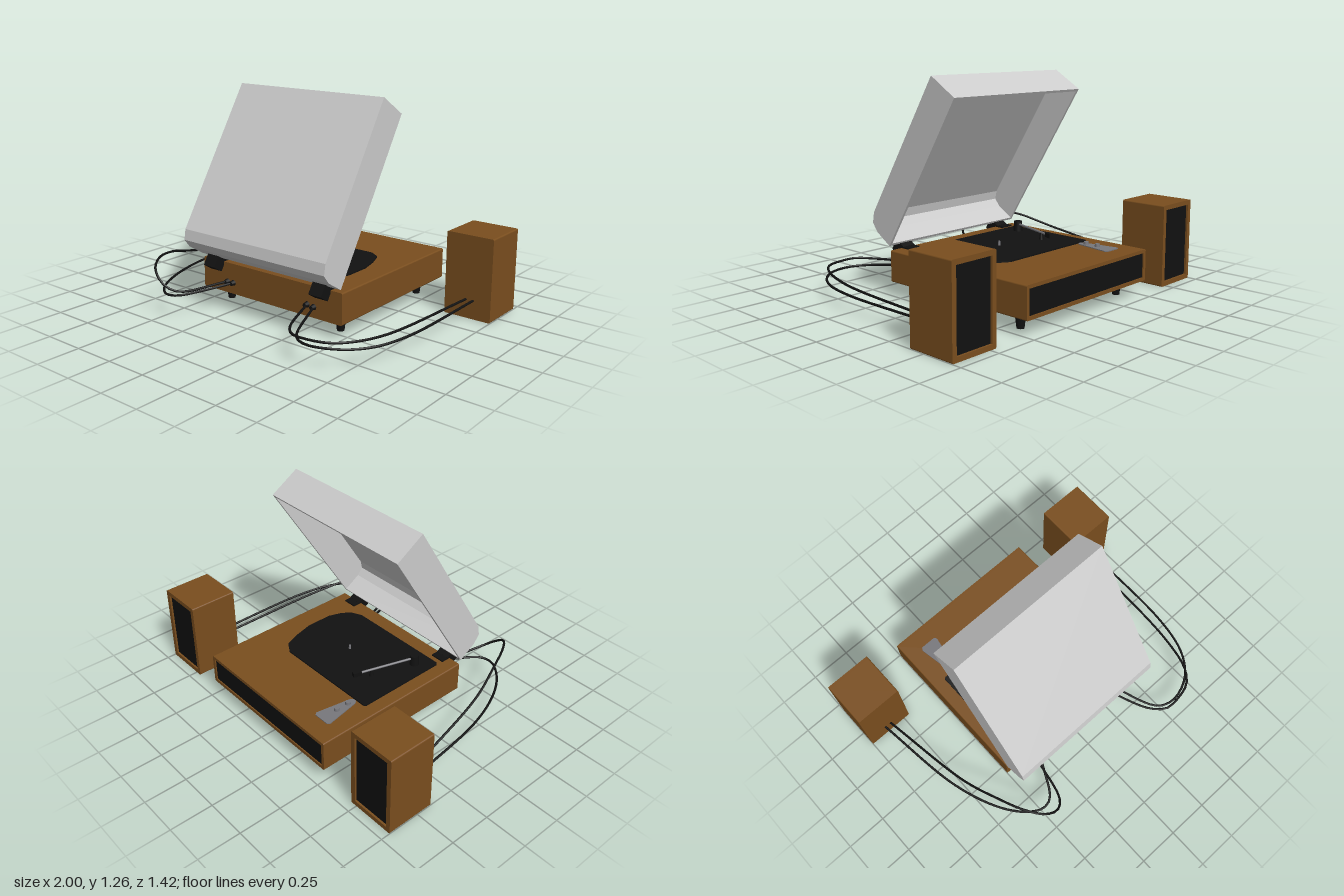
import * as THREE from 'three';

const mat = (color, side = THREE.FrontSide) => new THREE.MeshStandardMaterial({ color, side });
const wood = mat(0x7a4e1e), black = mat(0x111111), grey = mat(0xcccccc), metal = mat(0x77777c);

function add(parent, name, geometry, material, x = 0, y = 0, z = 0) {
  const mesh = new THREE.Mesh(geometry, material);
  mesh.name = name;
  mesh.position.set(x, y, z);
  parent.add(mesh);
  return mesh;
}

const box = (w, h, d) => new THREE.BoxGeometry(w, h, d);
const cyl = (r1, r2, h, n = 16) => new THREE.CylinderGeometry(r1, r2, h, n);
const polygon = pts => new THREE.Shape(pts.map(p => new THREE.Vector2(...p)));
const extrude = (shape, depth) =>
  new THREE.ExtrudeGeometry(shape, { depth, bevelEnabled: false, curveSegments: 5 });

function roundedRect(w, h, r) {
  const s = new THREE.Shape(), x = w / 2, y = h / 2;
  s.absarc(x - r, y - r, r, 0, Math.PI / 2);
  s.absarc(r - x, y - r, r, Math.PI / 2, Math.PI);
  s.absarc(r - x, r - y, r, Math.PI, Math.PI * 1.5);
  s.absarc(x - r, r - y, r, Math.PI * 1.5, Math.PI * 2);
  s.closePath();
  return s;
}

// Wooden cabinet with a recessed cloth grille on its -z face
function cabinet(name, w, h, d, border, recess) {
  const g = new THREE.Group();
  g.name = name;
  add(g, 'cabinetBody', extrude(roundedRect(w, h, 0.008), d - recess), wood, 0, 0, recess - d / 2);
  const frame = roundedRect(w, h, 0.008);
  const x = w / 2 - border, y = h / 2 - border;
  frame.holes.push(new THREE.Path([[-x, -y], [-x, y], [x, y], [x, -y]].map(p => new THREE.Vector2(...p))));
  add(g, 'grilleFrame', extrude(frame, recess), wood, 0, 0, -d / 2);
  add(g, 'grille', box(x * 2, y * 2, 0.008), black, 0, 0, recess - d / 2 - 0.004);
  return g;
}

// Dust cover: cross-section in (height above rim, distance from hinge), tilted open
function makeLid() {
  const lid = new THREE.Group();
  lid.name = 'lid';
  const outer = [[0, 0], [0.122, 0], [0.182, 0.021], [0.206, 0.08], [0.204, 1.016], [0, 1.016]];
  const inner = [[0, 1.0], [0.188, 1.0], [0.19, 0.084], [0.172, 0.034], [0.12, 0.016], [0, 0.016]];
  add(lid, 'lidShell', extrude(polygon([...outer, ...inner]), 1.02), grey, 0, 0, -0.51);
  for (const z of [-0.51, 0.495])
    add(lid, 'lidSide', extrude(polygon(outer), 0.015), grey, 0, 0, z);
  const up = new THREE.Vector3(0, 0.849, -0.528), out = new THREE.Vector3(0, 0.528, 0.849);
  lid.quaternion.setFromRotationMatrix(
    new THREE.Matrix4().makeBasis(out, up, new THREE.Vector3(-1, 0, 0)));
  lid.position.set(0, 0.293, 0.327);
  return lid;
}

function makeTonearm() {
  const arm = new THREE.Group();
  arm.name = 'tonearm';
  const pivot = new THREE.Vector3(-0.34, 0.32, 0.115), tip = new THREE.Vector3(-0.23, 0.32, -0.23);
  add(arm, 'pivotPost', cyl(0.025, 0.028, 0.062), black, pivot.x, 0.307, pivot.z);
  add(arm, 'armTube', new THREE.TubeGeometry(new THREE.LineCurve3(pivot, tip), 1, 0.007, 8), metal);
  const head = add(arm, 'headshell', box(0.028, 0.026, 0.05), black, tip.x, 0.32, tip.z);
  head.rotation.y = Math.atan2(pivot.x - tip.x, pivot.z - tip.z);
  add(arm, 'armRest', cyl(0.008, 0.014, 0.04, 10), black, -0.257, 0.296, -0.145);
  return arm;
}

// Speaker wires, listed from the speaker to the deck
const wires = [
  [[-0.88, 0.11, -0.41], [-0.8, 0.11, 0.15], [-0.7, 0.11, 0.42], [-0.6, 0.115, 0.56],
    [-0.5, 0.12, 0.625], [-0.43, 0.125, 0.61], [-0.34, 0.14, 0.46], [-0.275, 0.155, 0.32]],
  [[-0.84, 0.11, -0.41], [-0.75, 0.23, 0.2], [-0.68, 0.29, 0.42], [-0.61, 0.305, 0.58],
    [-0.53, 0.275, 0.68], [-0.45, 0.215, 0.7], [-0.39, 0.17, 0.65], [-0.32, 0.155, 0.32]],
  [[0.845, 0.11, -0.41], [0.81, 0.13, 0.35], [0.75, 0.15, 0.58], [0.68, 0.155, 0.66],
    [0.56, 0.155, 0.69], [0.48, 0.155, 0.685], [0.4, 0.15, 0.61], [0.275, 0.155, 0.32]],
  [[0.89, 0.11, -0.41], [0.885, 0.11, 0.22], [0.84, 0.112, 0.45], [0.77, 0.115, 0.57],
    [0.68, 0.117, 0.64], [0.56, 0.115, 0.67], [0.46, 0.116, 0.63], [0.32, 0.15, 0.32]],
];

export function createModel() {
  const model = new THREE.Group();
  model.name = 'recordPlayer';

  const deck = cabinet('deck', 1.02, 0.183, 1.025, 0.02, 0.015);
  deck.position.set(0, 0.1785, -0.1975);
  model.add(deck);

  // Feet
  for (const x of [-0.41, 0.41])
    for (const z of [-0.58, 0.19])
      add(model, 'foot', cyl(0.032, 0.021, 0.09, 14), black, x, 0.045, z);

  // Flat turntable plate with large corners on one side
  const plate = add(model, 'turntablePlate', extrude(polygon([
    [-0.42, 0.35], [0.235, 0.35], [0.3, 0.31], [0.337, 0.215], [0.365, 0.1], [0.365, -0.06],
    [0.337, -0.14], [0.3, -0.19], [0.235, -0.22], [-0.42, -0.22], [-0.43, -0.21], [-0.43, 0.34]]),
    0.01), black, 0, 0.268, 0);
  plate.rotation.x = -Math.PI / 2;
  add(model, 'spindle', cyl(0.006, 0.008, 0.03, 10), metal, 0.02, 0.288, -0.065);
  model.add(makeTonearm());

  // Control panel and knobs
  const panel = add(model, 'controlPanel', extrude(polygon([
    [-0.4, 0.595], [-0.412, 0.58], [-0.375, 0.37], [-0.363, 0.355], [-0.343, 0.355],
    [-0.331, 0.37], [-0.294, 0.58], [-0.306, 0.595]]), 0.006), metal, 0, 0.269, 0);
  panel.rotation.x = -Math.PI / 2;
  for (const z of [-0.485, -0.405])
    add(model, 'controlKnob', cyl(0.014, 0.016, 0.018), metal, -0.353, 0.282, z);

  // Lid and hinges
  model.add(makeLid());
  for (const x of [-0.39, 0.39]) {
    const hinge = add(model, 'hinge', box(0.085, 0.075, 0.07), black, x, 0.266, 0.347);
    hinge.rotation.x = -0.56;
    add(model, 'hingeBracket', box(0.085, 0.012, 0.06), black, x, 0.272, 0.285);
  }

  // Speakers
  for (const x of [-0.855, 0.855]) {
    const speaker = cabinet('speaker', 0.29, 0.488, 0.29, 0.028, 0.02);
    speaker.position.set(x, 0.244, -0.55);
    model.add(speaker);
  }

  // Wires and their plugs
  for (const path of wires) {
    const curve = new THREE.CatmullRomCurve3(path.map(p => new THREE.Vector3(...p)));
    add(model, 'speakerWire', new THREE.TubeGeometry(curve, 40, 0.007, 8), black);
    const [x, y] = path[path.length - 1];
    const plug = add(model, 'wirePlug', cyl(0.012, 0.019, 0.03, 12), black, x, y, 0.325);
    plug.rotation.x = Math.PI / 2;
  }
  return model;
}
